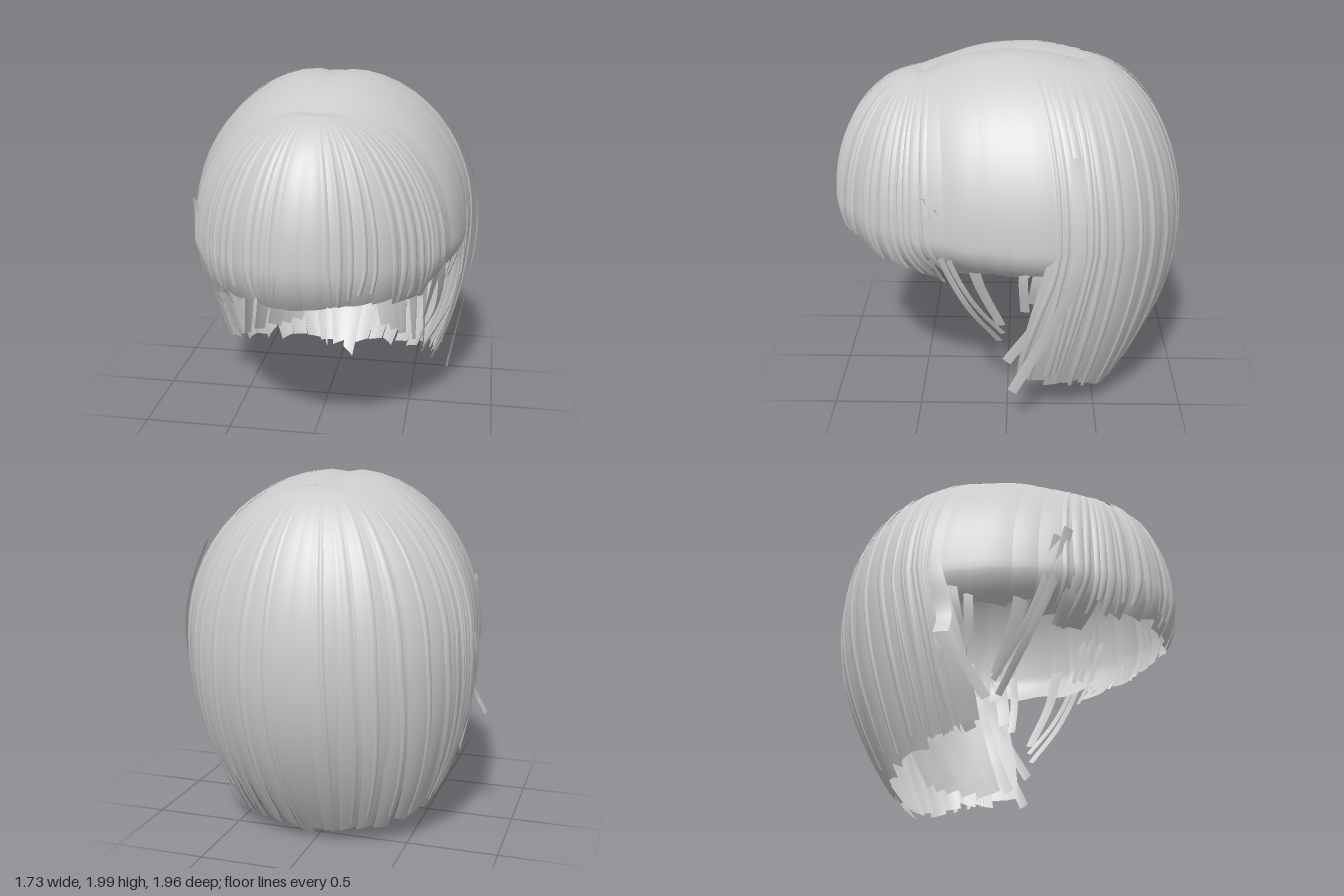
import * as THREE from 'three';

const material = new THREE.MeshStandardMaterial({ color: 0xcccccc, side: THREE.DoubleSide });
const { lerp, smoothstep, degToRad } = THREE.MathUtils;

// Seeded jitter in -1..1
let seed = 7;
const jitter = () => {
  seed = (seed * 16807) % 2147483647;
  return (seed / 2147483647) * 2 - 1;
};

// Piecewise linear lookup over [angle, value] pairs
function lookup(table, a) {
  for (let i = 1; i < table.length; i++) {
    const [a0, v0] = table[i - 1], [a1, v1] = table[i];
    if (a <= a1) return lerp(v0, v1, (a - a0) / (a1 - a0));
  }
  return table[table.length - 1][1];
}

// Hair shape by angle from the front: 0 fringe, 60-88 over the ear, 180 nape
const TIP = [[0, 0.93], [35, 0.95], [50, 0.84], [58, 0.87], [64, 0.95], [89, 0.93], [91, 0.27], [130, 0.13], [180, 0.03]];
const EQUATOR = [[0, 1.16], [90, 1.1], [180, 1.0]];
const CURL = [[0, 1.2], [45, 1.2], [60, 3.5], [89, 3.5], [91, 0.3], [130, 0.35], [180, 0.59]];

// Smooth grid of points, rows running from root to tip
function sheet(name, cols, rows, point) {
  const pos = [], index = [];
  for (let j = 0; j <= rows; j++)
    for (let i = 0; i <= cols; i++) {
      pos.push(...point(i / cols, j / rows));
      if (i < cols && j < rows) {
        const p = j * (cols + 1) + i, q = p + cols + 1;
        index.push(p, q, p + 1, p + 1, q, q + 1);
      }
    }
  const geometry = new THREE.BufferGeometry();
  geometry.setAttribute('position', new THREE.Float32BufferAttribute(pos, 3));
  geometry.setIndex(index);
  geometry.computeVertexNormals();
  const mesh = new THREE.Mesh(geometry, material);
  mesh.name = name;
  return mesh;
}

// A lock that leaves the parting, arches over the head and falls to its tip
function lock(name, angle, width, { lift = 0, tilt = 0, tip = 0, taper = 0.85, sway = 0, slant = 0 } = {}) {
  const abs = Math.min(Math.abs(angle), 180);
  const tipY = lookup(TIP, abs) + tip, curl = lookup(CURL, abs);
  const forward = abs > 90 ? -Math.sign(angle) * 11 * Math.sin(degToRad(abs)) : 0;
  return sheet(name, 4, 22, (u, v) => {
    const dome = Math.min(v / 0.6, 1), fall = Math.max((v - 0.6) / 0.4, 0);
    const deg = angle + (u - 0.5) * width * lerp(1, taper, v * v) + sway * v * v + forward * fall;
    const d = Math.min(Math.abs(deg), 360 - Math.abs(deg)), a = degToRad(deg);
    const equator = lookup(EQUATOR, d);
    const rootZ = lerp(0.47, -0.38, smoothstep(d, 45, 130));
    const rootY = 2 - (rootZ > 0 ? 0.58 : 0.4) * rootZ * rootZ;
    // Rise out of the crease of the parting, then follow a quarter ellipse
    const s = Math.sin(dome * Math.PI / 2), c = Math.cos(dome * Math.PI / 2);
    const drop = fall * (equator - tipY - slant * (u - 0.5));
    const g = (1 - curl * drop * drop) * (1 + (lift + tilt * (u - 0.5) + 0.01 * Math.sin(Math.PI * u)) * Math.min(dome * 2, 1));
    const eqX = 0.8 * Math.sin(a) * g;
    const eqZ = -0.25 + (Math.cos(a) > 0 ? 1.215 : 0.72) * Math.cos(a) * g;
    const y = equator + (rootY - equator) * c - drop - 0.028 * Math.exp(-dome * 16);
    return [0.01 + eqX * s, y + lift * 0.5 * c * Math.min(dome * 3, 1), rootZ + (eqZ - rootZ) * s];
  });
}

// A free ribbon through a few points, its flat side turned away from the head
function ribbon(name, points, width, taper = 0.6) {
  const curve = new THREE.CatmullRomCurve3(points.map(p => new THREE.Vector3(...p)));
  const middle = new THREE.Vector3(0, 1, -0.2);
  return sheet(name, 2, 14, (u, v) => {
    const p = curve.getPoint(v), out = p.clone().sub(middle).setY(0).normalize();
    const across = out.clone().cross(curve.getTangent(v)).normalize();
    const w = width * lerp(1, taper, v);
    return p.addScaledVector(across, (0.5 - u) * w).addScaledVector(out, 0.06 * w * Math.sin(Math.PI * u)).toArray();
  });
}

export function createModel() {
  const hair = new THREE.Group();
  hair.name = 'hair';
  const addGroup = (name, parts) => {
    const group = new THREE.Group();
    group.name = name;
    group.add(...parts);
    hair.add(group);
  };

  // Broad locks covering the whole head
  const broad = [];
  for (let i = 0; i < 40; i++) {
    const angle = -175.5 + i * 9, abs = Math.abs(angle);
    const name = abs < 55 ? 'fringeLock' : abs < 90 ? 'sideLock' : 'backLock';
    broad.push(lock(name, angle, 11.5, {
      lift: (i % 2) * 0.007, tilt: 0.012 * jitter(), tip: 0.025 * jitter(),
      taper: abs < 55 ? 0.85 : 1, slant: 0.05 * jitter(),
    }));
  }
  addGroup('broadLocks', broad);

  // Narrow strands lying over them, densest at the temples and behind the ears
  const fine = [];
  for (const side of [-1, 1])
    for (const [from, to, count] of [[6, 40, 7], [40, 58, 8], [92, 112, 8], [112, 175, 6]])
      for (let i = 0; i < count; i++) {
        const angle = side * lerp(from, to, (i + 0.5 + 0.3 * jitter()) / count);
        fine.push(lock('fineStrand', angle, 3.2 + 1.2 * jitter(), {
          lift: 0.014 + 0.006 * jitter(), tip: 0.03 + 0.05 * jitter(),
          taper: 0.6, sway: 3 * jitter(), slant: 0.03 * jitter(),
        }));
      }
  addGroup('fineStrands', fine);

  // Loose strands in front of and behind the ears
  const loose = [];
  for (const s of [-1, 1]) {
    loose.push(
      ribbon('templeStrand', [[s * 0.66, 1.35, 0.44], [s * 0.68, 1.05, 0.36], [s * 0.66, 0.72, 0.21], [s * 0.56, 0.45, 0.04]], 0.06),
      ribbon('templeStrand', [[s * 0.68, 1.3, 0.38], [s * 0.69, 1.0, 0.3], [s * 0.67, 0.75, 0.18], [s * 0.6, 0.52, 0.02]], 0.05),
      ribbon('templeStrand', [[s * 0.62, 1.25, 0.5], [s * 0.62, 1.0, 0.42], [s * 0.57, 0.82, 0.34]], 0.06),
      ribbon('sideburn', [[s * 0.69, 1.1, 0.2], [s * 0.64, 0.85, 0.15], [s * 0.58, 0.56, 0.03]], 0.09),
      ribbon('earStrand', [[s * 0.74, 1.1, -0.1], [s * 0.72, 0.9, -0.09], [s * 0.66, 0.69, -0.1]], 0.05, 1),
      ribbon('earStrand', [[s * 0.77, 1.1, -0.2], [s * 0.75, 0.9, -0.17], [s * 0.7, 0.76, -0.15]], 0.08, 1),
      ribbon('napeStrand', [[s * 0.79, 1.1, -0.32], [s * 0.78, 0.75, -0.2], [s * 0.68, 0.39, 0.0]], 0.06, 0.9),
      ribbon('napeStrand', [[s * 0.78, 1.0, -0.36], [s * 0.74, 0.6, -0.24], [s * 0.56, 0.27, -0.1]], 0.08, 0.8),
    );
  }
  loose.push(
    ribbon('flyawayStrand', [[0.72, 1.6, -0.35], [0.83, 1.3, -0.37], [0.86, 1.0, -0.36], [0.8, 0.6, -0.2], [0.72, 0.22, -0.03]], 0.07, 0.8),
    ribbon('flyawayStrand', [[-0.76, 1.3, -0.3], [-0.81, 1.05, -0.25], [-0.8, 0.82, -0.2], [-0.86, 0.69, -0.2]], 0.08, 1),
  );
  addGroup('looseStrands', loose);

  // Inner layer that parts at the nape and sweeps to both sides
  const inner = [];
  for (const s of [-1, 1])
    for (const [x0, z0, x1, z1, w] of [[0.04, -0.78, 0.3, -0.5, 0.14], [0.1, -0.74, 0.37, -0.44, 0.18], [0.26, -0.68, 0.42, -0.38, 0.2], [0.42, -0.56, 0.5, -0.3, 0.2], [0.56, -0.42, 0.56, -0.22, 0.18]])
      inner.push(ribbon('innerLock', [[s * x0, 1.15, z0], [s * lerp(x0, x1, 0.35), 0.8, lerp(z0, z1, 0.2)],
        [s * lerp(x0, x1, 0.75), 0.5, lerp(z0, z1, 0.6)], [s * x1, 0.26, z1]], w, 0.8));
  addGroup('innerLayer', inner);

  return hair;
}
